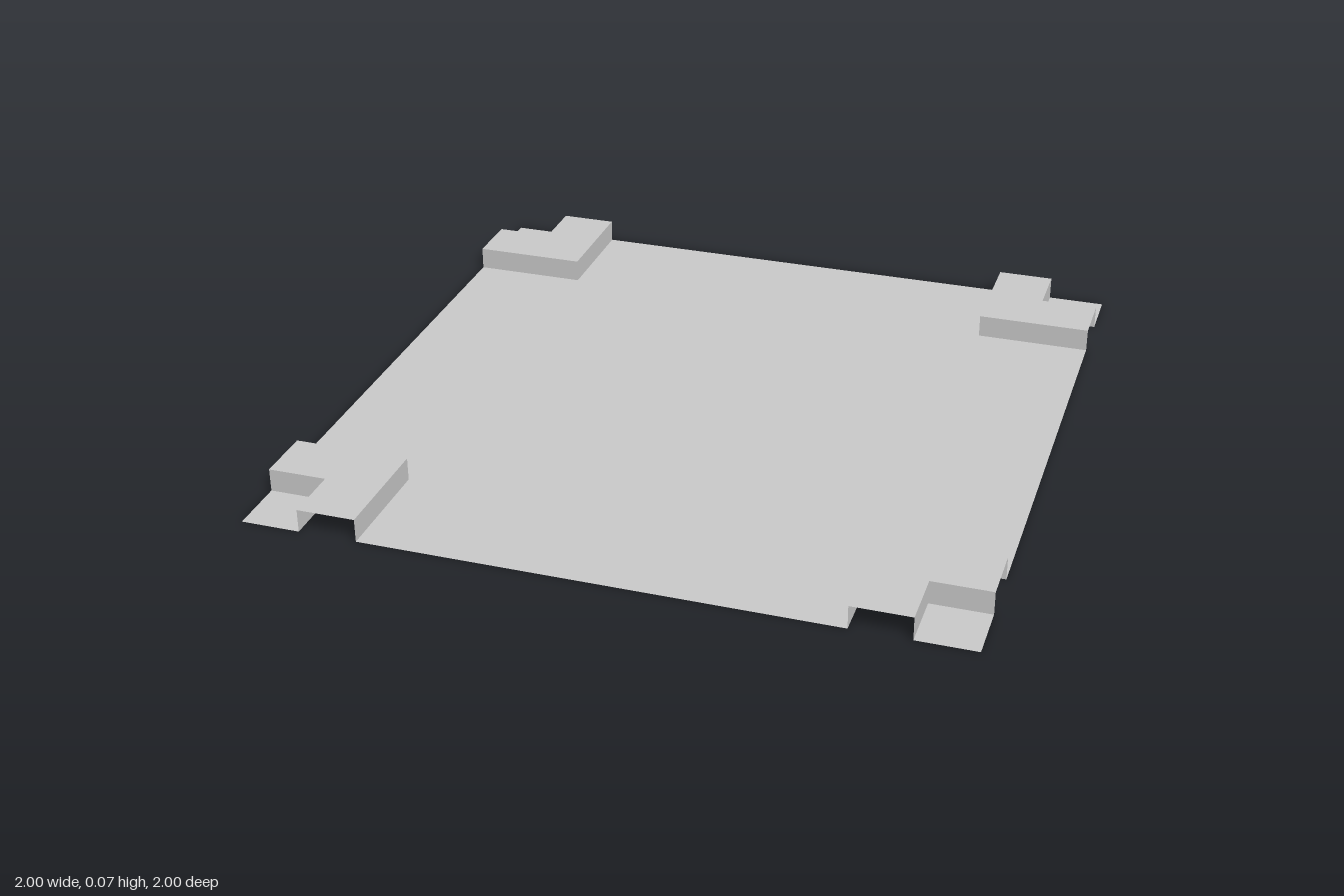
import * as THREE from 'three';

const EDGE = 1;        // half width of the sheet
const STEP = 0.666;    // where each raised corner begins
const NOTCH = 0.832;   // where the low square at the very corner begins
const HEIGHT = 0.067;  // rise of the corners

const material = new THREE.MeshStandardMaterial({
  color: 0xcccccc, flatShading: true, side: THREE.DoubleSide,
});

// Flat horizontal panel from [x, -z] outline points
function panel(name, points, y) {
  const shape = new THREE.Shape(points.map(([x, d]) => new THREE.Vector2(x, d)));
  const mesh = new THREE.Mesh(new THREE.ShapeGeometry(shape).rotateX(-Math.PI / 2), material);
  mesh.position.y = y;
  mesh.name = name;
  return mesh;
}

// Upright wall centred on (x, z), turned about y
function wall(name, length, x, z, turn) {
  const mesh = new THREE.Mesh(new THREE.PlaneGeometry(length, HEIGHT), material);
  mesh.position.set(x, HEIGHT / 2, z);
  mesh.rotation.y = turn;
  mesh.name = name;
  return mesh;
}

// Raised L-shaped corner, open at the sheet's rim and hollow underneath
function makeCorner() {
  const corner = new THREE.Group();
  const stepMid = (STEP + EDGE) / 2, notchMid = (NOTCH + EDGE) / 2;
  corner.add(
    panel('raisedTop', [[STEP, STEP], [EDGE, STEP], [EDGE, NOTCH],
      [NOTCH, NOTCH], [NOTCH, EDGE], [STEP, EDGE]], HEIGHT),
    panel('lowSquare', [[NOTCH, NOTCH], [EDGE, NOTCH], [EDGE, EDGE], [NOTCH, EDGE]], 0),
    wall('innerWallSide', EDGE - STEP, STEP, -stepMid, -Math.PI / 2),
    wall('innerWallFront', EDGE - STEP, stepMid, -STEP, 0),
    wall('notchWallSide', EDGE - NOTCH, NOTCH, -notchMid, Math.PI / 2),
    wall('notchWallBack', EDGE - NOTCH, notchMid, -NOTCH, Math.PI),
  );
  return corner;
}

export function createModel() {
  const model = new THREE.Group();
  model.name = 'corneredSheet';

  // Cross-shaped floor, leaving the four corners free
  const s = STEP, e = EDGE;
  model.add(panel('floor', [
    [-s, -e], [s, -e], [s, -s], [e, -s], [e, s], [s, s],
    [s, e], [-s, e], [-s, s], [-e, s], [-e, -s], [-s, -s],
  ], 0));

  // Four corners, each a quarter turn on
  ['backLeft', 'backRight', 'frontRight', 'frontLeft'].forEach((place, i) => {
    const corner = makeCorner();
    corner.name = place + 'Corner';
    corner.rotation.y = i * Math.PI / 2;
    model.add(corner);
  });
  return model;
}
